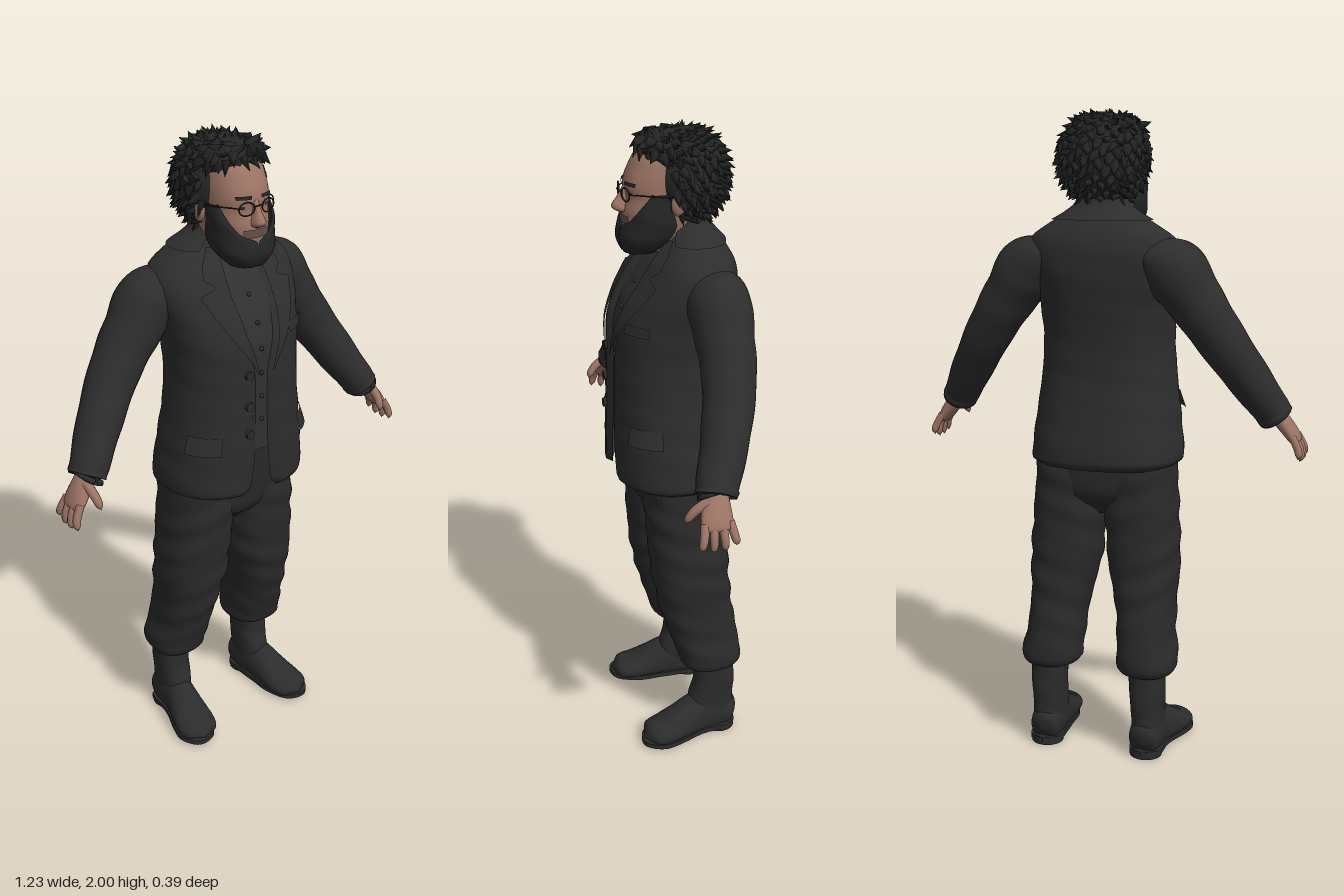
import * as THREE from 'three';
import { mergeVertices, mergeGeometries } from 'three/addons/utils/BufferGeometryUtils.js';

const mat = (name, color, side = THREE.FrontSide) => {
  const m = new THREE.MeshStandardMaterial({ color, side });
  m.name = name;
  return m;
};

// smooth surface from a grid of points; u runs around, v runs along
function surf(nu, nv, fn) {
  const pos = [], idx = [];
  for (let j = 0; j <= nv; j++)
    for (let i = 0; i <= nu; i++) pos.push(...fn(i / nu, j / nv, i, j));
  for (let j = 0; j < nv; j++)
    for (let i = 0; i < nu; i++) {
      const a = j * (nu + 1) + i, b = a + nu + 1;
      idx.push(a, a + 1, b + 1, a, b + 1, b);
    }
  const g = new THREE.BufferGeometry();
  g.setAttribute('position', new THREE.Float32BufferAttribute(pos, 3));
  g.setIndex(idx);
  const merged = mergeVertices(g, 1e-5);
  merged.computeVertexNormals();
  return merged;
}

// cubic lookup in a table of rows keyed by the first column
function sample(rows, y) {
  let k = 0;
  while (k < rows.length - 2 && y > rows[k + 1][0]) k++;
  const at = i => rows[Math.min(rows.length - 1, Math.max(0, i))];
  const t = Math.min(1, Math.max(0, (y - rows[k][0]) / (rows[k + 1][0] - rows[k][0])));
  return rows[k].map((p1, c) => {
    const p0 = at(k - 1)[c], p2 = at(k + 1)[c], p3 = at(k + 2)[c];
    return p1 + 0.5 * t * (p2 - p0 + t * (2 * p0 - 5 * p1 + 4 * p2 - p3 + t * (3 * (p1 - p2) + p3 - p0)));
  });
}

// rows: [y, halfWidth, front z, back z, half opening at the front, centre x]
const E = 0.85;
const pw = s => Math.sign(s) * Math.abs(s) ** E;
function ringPoint(rows, y, a, off = 0, wave = 0) {
  const [, w, f, b, , cx = 0] = sample(rows, y);
  const k = 1 + wave * Math.sin(y * 62 + a * 2) * Math.sin(a + y * 9);
  return [cx + (w + off) * k * pw(Math.sin(a)), y, (f + b) / 2 + ((f - b) / 2 + off) * k * pw(Math.cos(a))];
}
function angleAt(rows, y, x) {
  const s = Math.min(1, Math.abs(x) / Math.max(1e-4, sample(rows, y)[1]));
  return Math.sign(x) * Math.asin(s ** (1 / E));
}
function loft(rows, nu, nv, wave = 0, fold = 0) {
  const y0 = rows[0][0], y1 = rows[rows.length - 1][0];
  return surf(nu, nv, (u, v, i, j) => {
    const y = y0 + (y1 - y0) * v;
    const a0 = angleAt(rows, y, Math.max(0, sample(rows, y)[4] || 0));
    const edge = i === 0 || i === nu || j === 0;
    return ringPoint(rows, y, a0 + (2 * Math.PI - 2 * a0) * u, edge ? -fold : 0, wave);
  });
}
// thin plate lying on a loft between two x edges
const plate = (rows, y0, y1, xa, xb, off, n = 10) => surf(8, n, (u, v) => {
  const y = y0 + (y1 - y0) * v;
  return ringPoint(rows, y, angleAt(rows, y, xa(y) + (xb(y) - xa(y)) * u), off);
});

// tapering limb through points [x, y, z, radius, depth radius]
function limb(pts, nu, nv, up = [0, 0, 1], wave = 0, minY = -1) {
  const curve = new THREE.CatmullRomCurve3(pts.map(p => new THREE.Vector3(p[0], p[1], p[2])));
  const radii = pts.map((p, i) => [i / (pts.length - 1), p[3], p[4]]);
  return surf(nu, nv, (u, v) => {
    const p = curve.getPoint(v), t = curve.getTangent(v);
    const n2 = new THREE.Vector3(...up);
    n2.addScaledVector(t, -n2.dot(t)).normalize();
    const n1 = n2.clone().cross(t), a = u * Math.PI * 2;
    const [, r1, r2] = sample(radii, v);
    const k = 1 + wave * Math.sin(v * 45 + Math.sin(a) * 2);
    p.addScaledVector(n1, Math.max(0, r1) * k * Math.cos(a)).addScaledVector(n2, Math.max(0, r2) * k * Math.sin(a));
    return [p.x, Math.max(minY, p.y), p.z];
  });
}

const COAT = [
  [0.92, 0.235, 0.193, -0.19, 0.07], [0.95, 0.238, 0.198, -0.193, 0.04], [1.05, 0.228, 0.198, -0.178, 0.028],
  [1.2, 0.21, 0.194, -0.156, 0.024], [1.32, 0.203, 0.192, -0.157, 0.026], [1.42, 0.21, 0.186, -0.17, 0.05],
  [1.5, 0.225, 0.155, -0.18, 0.065], [1.57, 0.238, 0.11, -0.18, 0.07], [1.62, 0.222, 0.075, -0.17, 0.065],
  [1.66, 0.165, 0.04, -0.15, 0.055], [1.7, 0.1, 0.018, -0.118, 0.045], [1.73, 0.072, 0, -0.1, 0.045]];
const HIPS = [[0.76, 0.03, 0.04, -0.06], [0.82, 0.16, 0.105, -0.13], [0.92, 0.215, 0.125, -0.14], [1.12, 0.19, 0.14, -0.13]];
const LEG = [
  [0.26, 0.06, -0.02, -0.15, 0, 0.163], [0.275, 0.09, 0.015, -0.177, 0, 0.16], [0.32, 0.094, 0.028, -0.182, 0, 0.157],
  [0.4, 0.089, 0.055, -0.17, 0, 0.149], [0.5, 0.095, 0.082, -0.155, 0, 0.14], [0.6, 0.11, 0.1, -0.146, 0, 0.13],
  [0.8, 0.113, 0.115, -0.14, 0, 0.117], [0.96, 0.108, 0.122, -0.134, 0, 0.112]];
const SHAFT = [
  [0.05, 0.05, -0.01, -0.165, 0, 0.166], [0.12, 0.05, -0.01, -0.163, 0, 0.166],
  [0.2, 0.054, -0.03, -0.165, 0, 0.165], [0.31, 0.058, -0.03, -0.162, 0, 0.163]];
const FACE = [
  [1.64, 0.04, 0.1, 0], [1.68, 0.07, 0.135, -0.05], [1.72, 0.081, 0.144, -0.08], [1.76, 0.087, 0.147, -0.09],
  [1.8, 0.091, 0.138, -0.1], [1.835, 0.092, 0.141, -0.1], [1.88, 0.09, 0.126, -0.1], [1.93, 0.078, 0.095, -0.09],
  [1.97, 0.02, 0.03, -0.03]];
const BEARD = [
  [1.627, 0.004, 0.105, 0.095, 0], [1.638, 0.052, 0.145, 0.05, 0], [1.68, 0.088, 0.163, 0, 0], [1.715, 0.098, 0.158, -0.02, 0.004],
  [1.735, 0.1, 0.152, -0.02, 0.05], [1.77, 0.101, 0.145, -0.015, 0.078], [1.82, 0.099, 0.12, -0.01, 0.092]];
const LAPEL = [
  [1.33, 0.024, 0.03], [1.45, 0.055, 0.1], [1.55, 0.068, 0.148], [1.568, 0.068, 0.15], [1.58, 0.068, 0.112],
  [1.592, 0.068, 0.112], [1.602, 0.067, 0.13], [1.63, 0.062, 0.122], [1.68, 0.05, 0.085]];

export function createModel() {
  const model = new THREE.Group();
  const cloth = mat('coat charcoal', 0x2d2d2d, THREE.DoubleSide);
  const vestCloth = mat('waistcoat charcoal', 0x303030, THREE.DoubleSide);
  const trouserCloth = mat('trouser charcoal', 0x2a2a2a);
  const leather = mat('boot leather', 0x2c2c2c);
  const hairMat = mat('hair black', 0x242625, THREE.DoubleSide);
  const skin = mat('skin', 0x9c7464);
  const metal = mat('spectacle metal', 0x2a2624);
  const stubble = mat('moustache grey brown', 0x66544c, THREE.DoubleSide);
  const add = (parent, name, geo, m, x = 0, y = 0, z = 0) => {
    const mesh = new THREE.Mesh(geo, m);
    mesh.name = name;
    mesh.position.set(x, y, z);
    parent.add(mesh);
    return mesh;
  };

  // torso clothing
  add(model, 'coat', loft(COAT, 72, 60, 0.006, 0.018), cloth);
  add(model, 'coatCollar', surf(40, 6, (u, v) => {
    const y = 1.672 + 0.062 * v;
    return ringPoint(COAT, y, 0.75 + (2 * Math.PI - 1.5) * u, 0.012 - 0.006 * v);
  }), cloth);
  const vestX = y => Math.min(0.095, sample(COAT, y)[1] * 0.85);
  add(model, 'waistcoat', plate(COAT, 1.07, 1.71, y => -vestX(y), vestX, -0.018, 24), vestCloth);
  for (let i = 0; i < 6; i++) {
    const y = 1.17 + i * 0.075, p = ringPoint(COAT, y, 0, -0.016);
    add(model, 'waistcoatButton', new THREE.SphereGeometry(0.007, 8, 6), leather, ...p);
  }
  for (const y of [1.14, 1.23, 1.33]) {
    const p = ringPoint(COAT, y, angleAt(COAT, y, -0.056), 0.004);
    add(model, 'coatButton', new THREE.CylinderGeometry(0.014, 0.014, 0.01, 14), leather, ...p).rotation.x = Math.PI / 2;
  }
  add(model, 'breastPocket', plate(COAT, 1.425, 1.455, () => 0.1, () => 0.178, 0.006, 3), cloth);
  add(model, 'trouserSeat', loft(HIPS, 40, 16), trouserCloth);

  // everything that is mirrored
  const side = new THREE.Group();
  side.name = 'leftSide';
  add(side, 'lapel', plate(COAT, 1.33, 1.68, y => sample(LAPEL, y)[1], y => sample(LAPEL, y)[2], 0.008, 50), cloth);
  add(side, 'pocketFlap', surf(8, 4, (u, v) => {
    const y = 1.085 + 0.055 * v;
    return ringPoint(COAT, y, 0.62 + 0.6 * u, 0.016 - 0.012 * v);
  }), cloth);
  add(side, 'sleeve', limb([
    [0.14, 1.575, -0.07, 0.05, 0.08], [0.225, 1.53, -0.07, 0.096, 0.093], [0.295, 1.44, -0.068, 0.085, 0.085],
    [0.36, 1.345, -0.058, 0.076, 0.078], [0.445, 1.215, -0.018, 0.067, 0.07], [0.515, 1.105, 0.028, 0.056, 0.062],
    [0.527, 1.085, 0.034, 0.053, 0.058], [0.524, 1.09, 0.033, 0.02, 0.02]], 28, 80, [0, 0, 1], 0.014), cloth);
  add(side, 'trouserLeg', loft(LEG, 36, 60, 0.03), trouserCloth);

  // hand
  add(side, 'palm', limb([
    [0.515, 1.115, 0.03, 0.025, 0.03], [0.54, 1.08, 0.038, 0.025, 0.036], [0.57, 1.04, 0.048, 0.022, 0.046],
    [0.59, 1.01, 0.05, 0.015, 0.042], [0.593, 1.003, 0.05, 0, 0]], 18, 16), skin);
  for (let i = 0; i < 4; i++) {
    const drop = [0.012, 0, 0, 0.008][i];
    add(side, 'finger', limb([
      [0.582, 1.03, 0.014 + 0.024 * i, 0.012, 0.013], [0.602, 0.99, 0.005 + 0.03 * i, 0.012, 0.012],
      [0.605, 0.962 + drop, 0.001 + 0.033 * i, 0.01, 0.01], [0.602, 0.95 + drop, 0.034 * i, 0, 0]], 10, 12), skin);
  }
  add(side, 'thumb', limb([
    [0.548, 1.08, 0.06, 0.016, 0.016], [0.545, 1.058, 0.1, 0.014, 0.014],
    [0.54, 1.03, 0.122, 0.011, 0.011], [0.538, 1.015, 0.126, 0, 0]], 10, 12, [1, 0, 0]), skin);

  // boot
  add(side, 'bootShaft', loft(SHAFT, 28, 20, 0.02), leather);
  add(side, 'bootFoot', limb([
    [0.166, 0.05, -0.168, 0, 0], [0.166, 0.055, -0.155, 0.042, 0.05], [0.167, 0.065, -0.1, 0.052, 0.075],
    [0.172, 0.065, -0.04, 0.052, 0.078], [0.182, 0.052, 0.02, 0.06, 0.06], [0.192, 0.04, 0.08, 0.067, 0.04],
    [0.2, 0.034, 0.13, 0.055, 0.03], [0.204, 0.03, 0.157, 0, 0]], 28, 40, [0, 1, 0], 0, 0.014), leather);
  const outline = new THREE.Shape(new THREE.SplineCurve([
    [0.166, -0.17], [0.217, -0.14], [0.222, -0.05], [0.252, 0.04], [0.262, 0.1], [0.236, 0.15], [0.2, 0.161],
    [0.155, 0.14], [0.126, 0.07], [0.122, 0], [0.118, -0.06], [0.118, -0.14], [0.166, -0.17]]
    .map(p => new THREE.Vector2(p[0], -p[1]))).getPoints(40));
  const sole = new THREE.ExtrudeGeometry(outline, { depth: 0.016, bevelEnabled: false });
  sole.rotateX(-Math.PI / 2);
  add(side, 'bootSole', sole, leather, 0, 0.01, 0);
  add(side, 'bootHeel', new THREE.CylinderGeometry(0.051, 0.051, 0.025, 20), leather, 0.167, 0.0125, -0.118);

  // ear, eye, brow and one side of the spectacles
  add(side, 'ear', new THREE.SphereGeometry(1, 12, 10), skin, 0.1, 1.79, 0.008).scale.set(0.014, 0.034, 0.022);
  add(side, 'eye', new THREE.SphereGeometry(1, 12, 8), metal, 0.036, 1.814, 0.128).scale.set(0.012, 0.005, 0.006);
  add(side, 'brow', plate(FACE, 1.838, 1.848, () => 0.016, () => 0.058, 0.004, 2), hairMat);
  const lens = add(side, 'spectacleRim', new THREE.TorusGeometry(0.024, 0.0025, 6, 28), metal, 0.037, 1.814, 0.146);
  lens.scale.y = 0.8;
  lens.rotation.y = 0.2;
  add(side, 'spectacleTemple', limb([[0.06, 1.818, 0.141, 0.002, 0.002], [0.094, 1.818, 0.09, 0.002, 0.002],
    [0.102, 1.808, 0.01, 0.002, 0.002]], 6, 12, [0, 1, 0]), metal);
  model.add(side);
  const other = side.clone();
  other.name = 'rightSide';
  other.scale.x = -1;
  model.add(other);

  // head
  add(model, 'neck', loft([[1.6, 0.06, 0.0, -0.1], [1.68, 0.058, 0.015, -0.09], [1.8, 0.06, 0.03, -0.08]], 24, 8), skin);
  add(model, 'face', loft(FACE, 40, 36), skin);
  add(model, 'nose', loft([[1.752, 0.004, 0.145, 0.12], [1.762, 0.02, 0.168, 0.11], [1.775, 0.019, 0.178, 0.11],
    [1.8, 0.012, 0.162, 0.11], [1.83, 0.01, 0.145, 0.11], [1.845, 0.004, 0.135, 0.11]], 16, 18), skin);
  add(model, 'spectacleBridge', limb([[-0.015, 1.818, 0.15, 0.002, 0.002], [0, 1.824, 0.161, 0.002, 0.002],
    [0.015, 1.818, 0.15, 0.002, 0.002]], 6, 10), metal);
  add(model, 'moustache', plate(FACE, 1.727, 1.752, () => -0.042, () => 0.042, 0.004, 4), stubble);
  add(model, 'beard', loft(BEARD, 44, 30, 0.012, 0.006), hairMat);

  // hair: two masses covered in curls
  const masses = [[0, 1.85, -0.043, 0.133, 0.137, 0.12], [0, 1.932, 0.018, 0.104, 0.052, 0.08]];
  for (const [x, y, z, rx, ry, rz] of masses)
    add(model, 'hairMass', new THREE.SphereGeometry(1, 32, 22), hairMat, x, y, z).scale.set(rx, ry, rz);
  const curls = [];
  let seed = 7;
  const rnd = () => (seed = (seed * 16807) % 2147483647) / 2147483647;
  masses.forEach(([, cy, cz, rx, ry, rz], m) => {
    const count = m ? 70 : 260;
    for (let i = 0; i < count; i++) {
      const h = 1 - 2 * (i + 0.5) / count, r = Math.sqrt(1 - h * h), a = i * 2.39996;
      const p = new THREE.Vector3(rx * r * Math.sin(a), cy + ry * h, cz + rz * r * Math.cos(a));
      if ((p.z > 0.02 && p.y < 1.9) || p.y < 1.73) continue;
      const n = new THREE.Vector3(r * Math.sin(a) / rx, h / ry, r * Math.cos(a) / rz).normalize();
      const d = n.clone().multiplyScalar(0.45).add(new THREE.Vector3(
        (rnd() - 0.5) * 0.7, (rnd() - 0.5) * 0.5 - 0.6 * (1 - Math.abs(h)), (rnd() - 0.5) * 0.7 - 0.25)).normalize();
      const g = new THREE.ConeGeometry(0.016 + 0.006 * rnd(), 0.045, 6, 1);
      g.scale(1, 1, 0.8);
      g.applyQuaternion(new THREE.Quaternion().setFromUnitVectors(new THREE.Vector3(0, 1, 0), d));
      p.addScaledVector(d, 0.008);
      g.translate(p.x, Math.min(p.y, 1.975), p.z);
      curls.push(g);
    }
  });
  add(model, 'hairCurls', mergeGeometries(curls), hairMat);
  return model;
}
